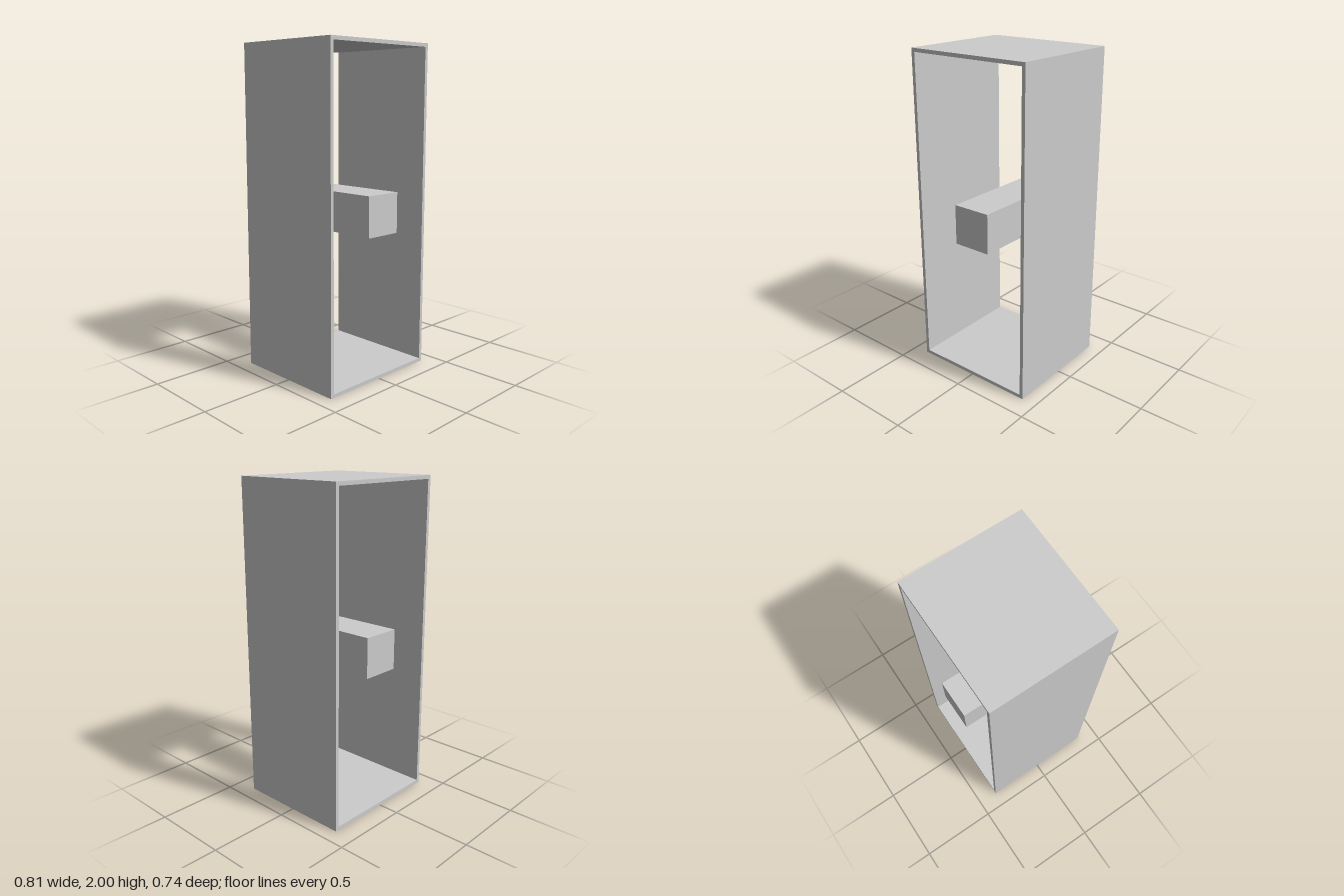
import * as THREE from 'three';

const WIDTH = 0.81, HEIGHT = 2, DEPTH = 0.738, WALL = 0.022;

// Rectangle outline between two corners
function rectangle(PathType, x0, y0, x1, y1) {
  return new PathType([
    new THREE.Vector2(x0, y0), new THREE.Vector2(x1, y0),
    new THREE.Vector2(x1, y1), new THREE.Vector2(x0, y1),
  ]);
}

export function createModel() {
  const group = new THREE.Group();
  const material = new THREE.MeshStandardMaterial({ color: 0xcccccc, flatShading: true });

  // Thin-walled rectangular frame, open at front and back
  const half = WIDTH / 2;
  const outline = rectangle(THREE.Shape, -half, 0, half, HEIGHT);
  outline.holes.push(rectangle(THREE.Path, -half + WALL, WALL, half - WALL, HEIGHT - WALL));
  const frameGeometry = new THREE.ExtrudeGeometry(outline, { depth: DEPTH, bevelEnabled: false });
  frameGeometry.translate(0, 0, -DEPTH / 2);
  const frame = new THREE.Mesh(frameGeometry, material);
  frame.name = 'frame';
  group.add(frame);

  // Square bar running the full depth through the middle, slightly off centre
  const bar = new THREE.Mesh(new THREE.BoxGeometry(0.245, 0.246, DEPTH), material);
  bar.name = 'centreBar';
  bar.position.set(0.021, 1.003, 0);
  group.add(bar);

  return group;
}
